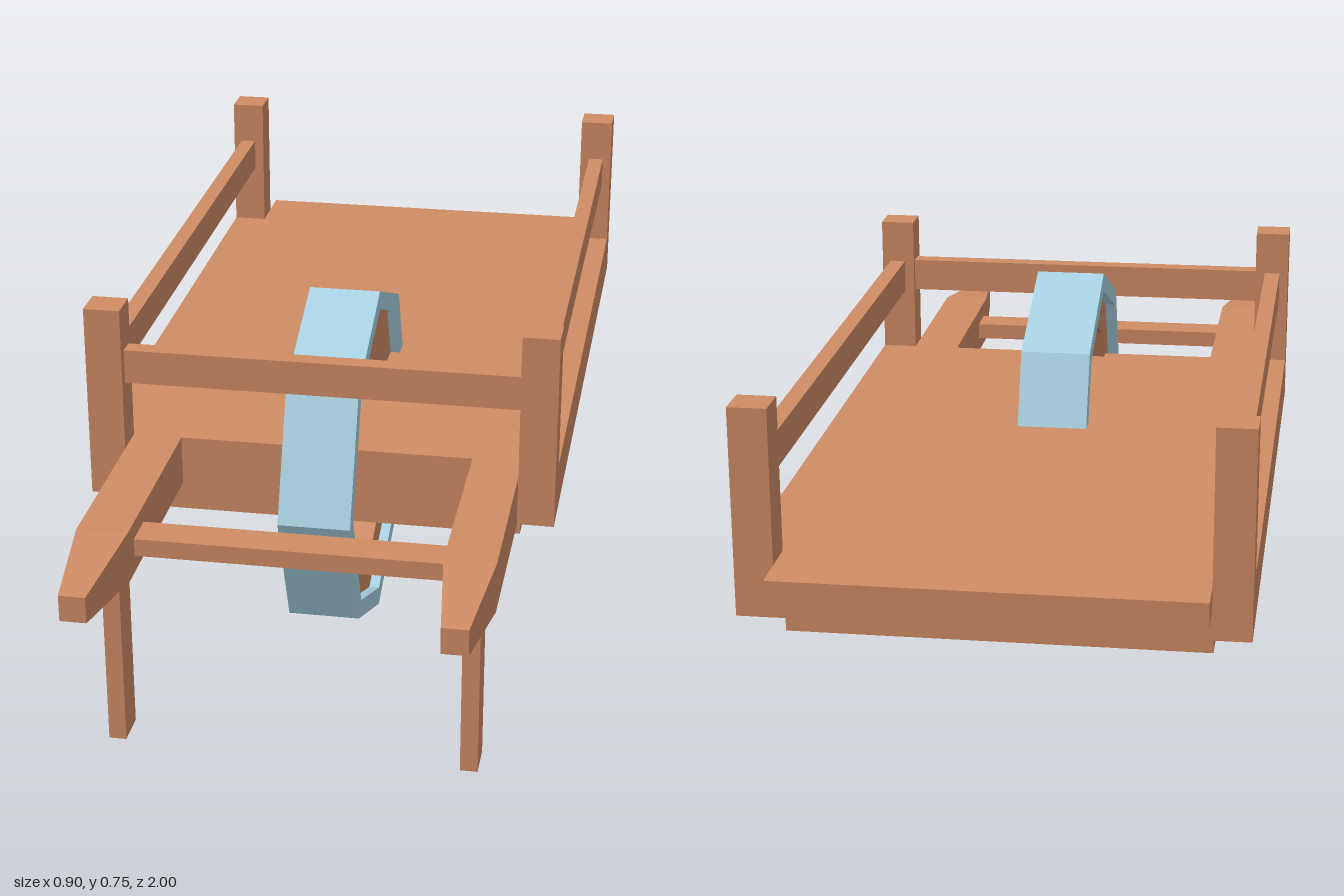
import * as THREE from 'three';

const wood = new THREE.MeshStandardMaterial({ color: 0xd08c66, flatShading: true });
const blue = new THREE.MeshStandardMaterial({ color: 0xa9d3e4, flatShading: true });

// Box given by its ranges along each axis
function bar(name, [x0, x1], [y0, y1], [z0, z1]) {
  const mesh = new THREE.Mesh(new THREE.BoxGeometry(x1 - x0, y1 - y0, z1 - z0), wood);
  mesh.position.set((x0 + x1) / 2, (y0 + y1) / 2, (z0 + z1) / 2);
  mesh.name = name;
  return mesh;
}

// Eight-sided ring lying across the x axis, with a corner at the top
function ring(name, outer, inner, width, material) {
  const corners = (r) => Array.from({ length: 8 }, (_, i) =>
    new THREE.Vector2(r * Math.cos(i * Math.PI / 4), r * Math.sin(i * Math.PI / 4)));
  const shape = new THREE.Shape(corners(outer));
  shape.holes.push(new THREE.Path(corners(inner)));
  const geometry = new THREE.ExtrudeGeometry(shape, { depth: width, bevelEnabled: false });
  geometry.translate(0, 0, -width / 2).rotateY(Math.PI / 2);
  const mesh = new THREE.Mesh(geometry, material);
  mesh.name = name;
  return mesh;
}

// Handle tip: a box whose front end is squeezed to a smaller square
function handleTip(x) {
  const geometry = new THREE.BoxGeometry(0.095, 0.098, 0.2);
  const p = geometry.attributes.position;
  for (let i = 0; i < p.count; i++) {
    if (p.getZ(i) > 0) p.setXY(i, p.getX(i) * 0.51, p.getY(i) * 0.51);
  }
  geometry.computeVertexNormals();
  const mesh = new THREE.Mesh(geometry, wood);
  mesh.position.set(x, 0.411, 0.9);
  mesh.name = 'handleTip';
  return mesh;
}

export function createModel() {
  const cart = new THREE.Group();
  cart.name = 'wheelbarrow';

  // Bed: overhanging deck, frame and lower panel
  cart.add(
    bar('deck', [-0.38, 0.38], [0.415, 0.46], [-1, 0.39]),
    bar('bedFrame', [-0.38, 0.38], [0.362, 0.415], [-0.93, 0.39]),
    bar('lowerPanel', [-0.38, 0.38], [0.307, 0.362], [-0.86, 0.39]),
    bar('frontRail', [-0.38, 0.38], [0.59, 0.657], [0.402, 0.437]),
    bar('legCrossbar', [-0.29, 0.29], [0.394, 0.428], [0.69, 0.76]),
  );

  // Mirrored side parts
  for (const s of [-1, 1]) {
    const side = (a, b) => (s > 0 ? [a, b] : [-b, -a]);
    cart.add(
      bar('sideBeam', side(0.38, 0.45), [0.362, 0.46], [-0.86, 0.39]),
      bar('sideRail', side(0.4, 0.432), [0.59, 0.657], [-0.86, 0.39]),
      bar('frontPost', side(0.38, 0.45), [0.362, 0.745], [0.39, 0.457]),
      bar('backPost', side(0.38, 0.45), [0.362, 0.745], [-0.93, -0.86]),
      bar('handle', side(0.285, 0.38), [0.362, 0.46], [0.39, 0.8]),
      bar('leg', side(0.317, 0.35), [0, 0.362], [0.69, 0.76]),
      handleTip(s * 0.3325),
    );
  }

  // Wheel: tire, wooden rim and two crossed spokes
  const wheel = new THREE.Group();
  wheel.name = 'wheel';
  wheel.position.set(0, 0.353, 0.17);
  wheel.add(
    ring('tire', 0.35, 0.312, 0.14, blue),
    ring('rim', 0.313, 0.24, 0.1, wood),
  );
  for (const angle of [-Math.PI / 8, Math.PI * 3 / 8]) {
    const spoke = bar('spoke', [-0.018, 0.018], [-0.25, 0.25], [-0.018, 0.018]);
    spoke.rotation.x = angle;
    wheel.add(spoke);
  }
  cart.add(wheel);
  return cart;
}
